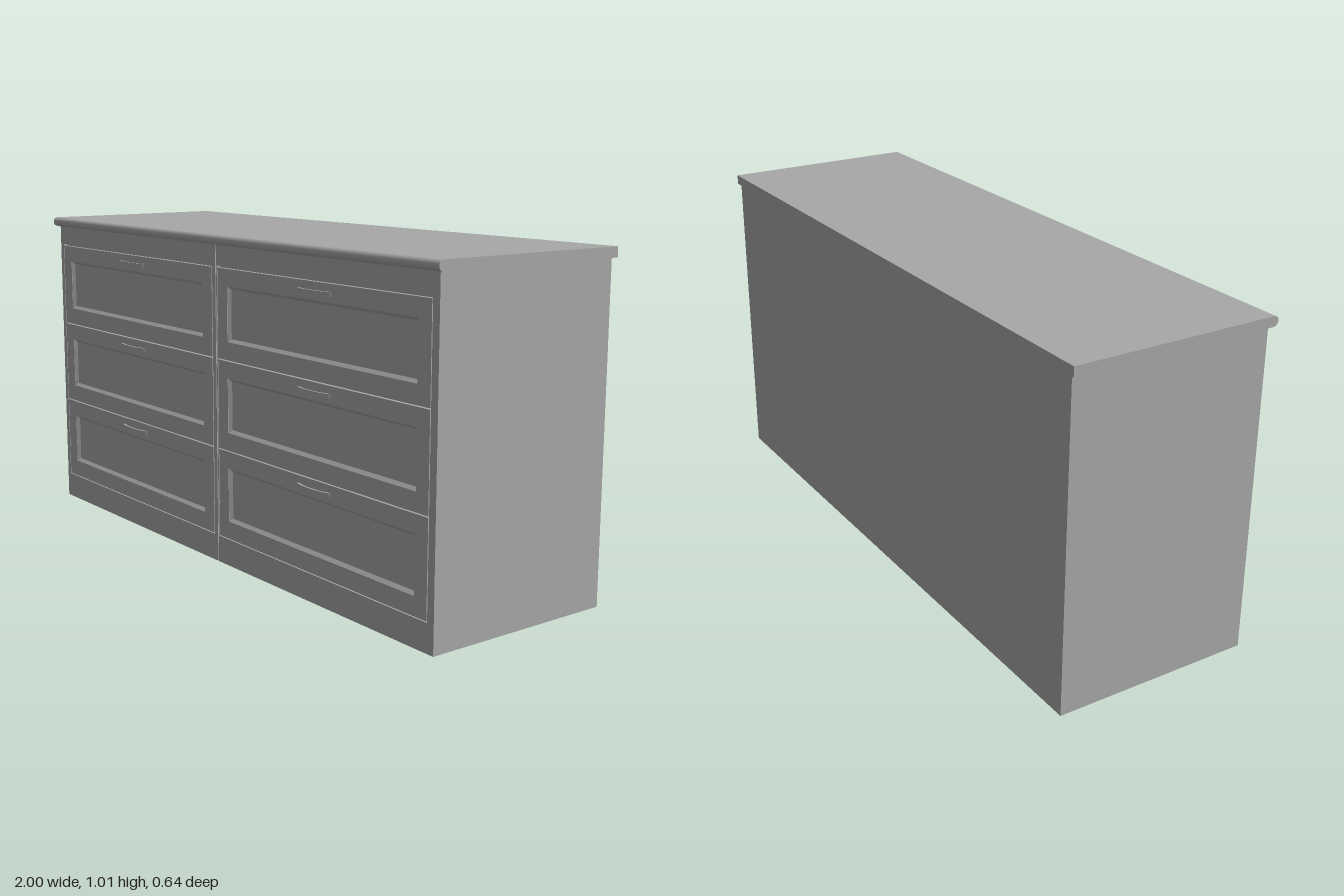
import * as THREE from 'three';

const grey = new THREE.MeshStandardMaterial({ color: 0xa8a8a8 });
grey.name = 'grey paint';

const FRONT = 0.303, DEPTH = 0.013;

function add(parent, name, geometry, x = 0, y = 0, z = 0) {
  const mesh = new THREE.Mesh(geometry, grey);
  mesh.name = name;
  mesh.position.set(x, y, z);
  parent.add(mesh);
  return mesh;
}

// Trace a rectangle on a shape or hole
function rect(path, [x0, x1, y0, y1]) {
  path.moveTo(x0, y0);
  path.lineTo(x1, y0);
  path.lineTo(x1, y1);
  path.lineTo(x0, y1);
  path.closePath();
  return path;
}

// Flat board with rectangular openings
function board(outer, holes, depth) {
  const shape = rect(new THREE.Shape(), outer);
  for (const h of holes) shape.holes.push(rect(new THREE.Path(), h));
  return new THREE.ExtrudeGeometry(shape, { depth, bevelEnabled: false });
}

// Sunken panel: a flat centre with four sloping moulding faces
function sunkenPanel([x0, x1, y0, y1], slope, drop) {
  const s = slope;
  const ring = (a, b, c, d, z) => [a, c, z, b, c, z, b, d, z, a, d, z];
  const positions = [...ring(x0, x1, y0, y1, 0), ...ring(x0 + s, x1 - s, y0 + s, y1 - s, -drop)];
  const index = [4, 5, 6, 4, 6, 7];
  for (let i = 0; i < 4; i++) {
    const j = (i + 1) % 4;
    index.push(i, j, j + 4, i, j + 4, i + 4);
  }
  const g = new THREE.BufferGeometry();
  g.setAttribute('position', new THREE.Float32BufferAttribute(positions, 3));
  g.setIndex(index);
  const flat = g.toNonIndexed();
  flat.computeVertexNormals();
  return flat;
}

// Bow handle: a crescent seen from above, given a small height
function handleGeometry() {
  const s = new THREE.Shape();
  s.moveTo(-0.077, 0);
  s.quadraticCurveTo(-0.06, -0.015, 0, -0.015);
  s.quadraticCurveTo(0.06, -0.015, 0.077, 0);
  s.lineTo(0.06, 0);
  s.quadraticCurveTo(0.045, -0.009, 0, -0.009);
  s.quadraticCurveTo(-0.045, -0.009, -0.06, 0);
  s.closePath();
  const g = new THREE.ExtrudeGeometry(s, { depth: 0.012, bevelEnabled: false, curveSegments: 10 });
  g.rotateX(-Math.PI / 2); // shape -y becomes +z, extrusion becomes +y
  g.translate(0, -0.006, 0);
  return g;
}

export function createModel() {
  const model = new THREE.Group();
  model.name = 'chestOfDrawers';

  // Carcass behind the front frame
  const back = -0.316, inner = FRONT - DEPTH;
  add(model, 'carcass', new THREE.BoxGeometry(1.97, 0.982, inner - back), 0, 0.491, (inner + back) / 2);

  // Worktop with a rounded front edge, swept along x
  const top = new THREE.Shape();
  top.moveTo(0.322, 0.98);
  top.lineTo(0.322, 1.01);
  top.lineTo(-0.307, 1.01);
  top.absarc(-0.307, 0.995, 0.015, Math.PI / 2, Math.PI * 1.5, false);
  top.closePath();
  const topGeometry = new THREE.ExtrudeGeometry(top, { depth: 2, bevelEnabled: false, curveSegments: 12 });
  topGeometry.rotateY(Math.PI / 2);
  add(model, 'worktop', topGeometry, -1, 0, 0);

  // Two banks of three drawers
  const banks = [
    { side: 'right', frame: [-0.985, 0.003], drawer: [-0.963, -0.017], panel: [-0.911, -0.069] },
    { side: 'left', frame: [0.007, 0.985], drawer: [0.014, 0.957], panel: [0.064, 0.909] },
  ];
  const gap = 0.003;
  const handle = handleGeometry();
  for (const { side, frame, drawer: [x0, x1], panel: [p0, p1] } of banks) {
    const bank = new THREE.Group();
    bank.name = side + 'DrawerBank';
    model.add(bank);
    const opening = [x0 - gap, x1 + gap, 0.083, 0.918];
    add(bank, 'frontFrame', board([...frame, 0, 0.98], [opening], DEPTH), 0, 0, inner);

    for (let i = 0; i < 3; i++) {
      const y0 = 0.086 + i * 0.2765;
      const drawer = new THREE.Group();
      drawer.name = 'drawer' + (i + 1);
      bank.add(drawer);
      const panel = [p0, p1, y0 + 0.055, y0 + 0.221];
      add(drawer, 'drawerFront', board([x0, x1, y0, y0 + 0.273], [panel], DEPTH), 0, 0, inner);
      add(drawer, 'sunkenPanel', sunkenPanel(panel, 0.009, 0.009), 0, 0, FRONT - 0.001);
      add(drawer, 'handle', handle, (p0 + p1) / 2, y0 + 0.245, FRONT - 0.0005);
    }
  }
  return model;
}
